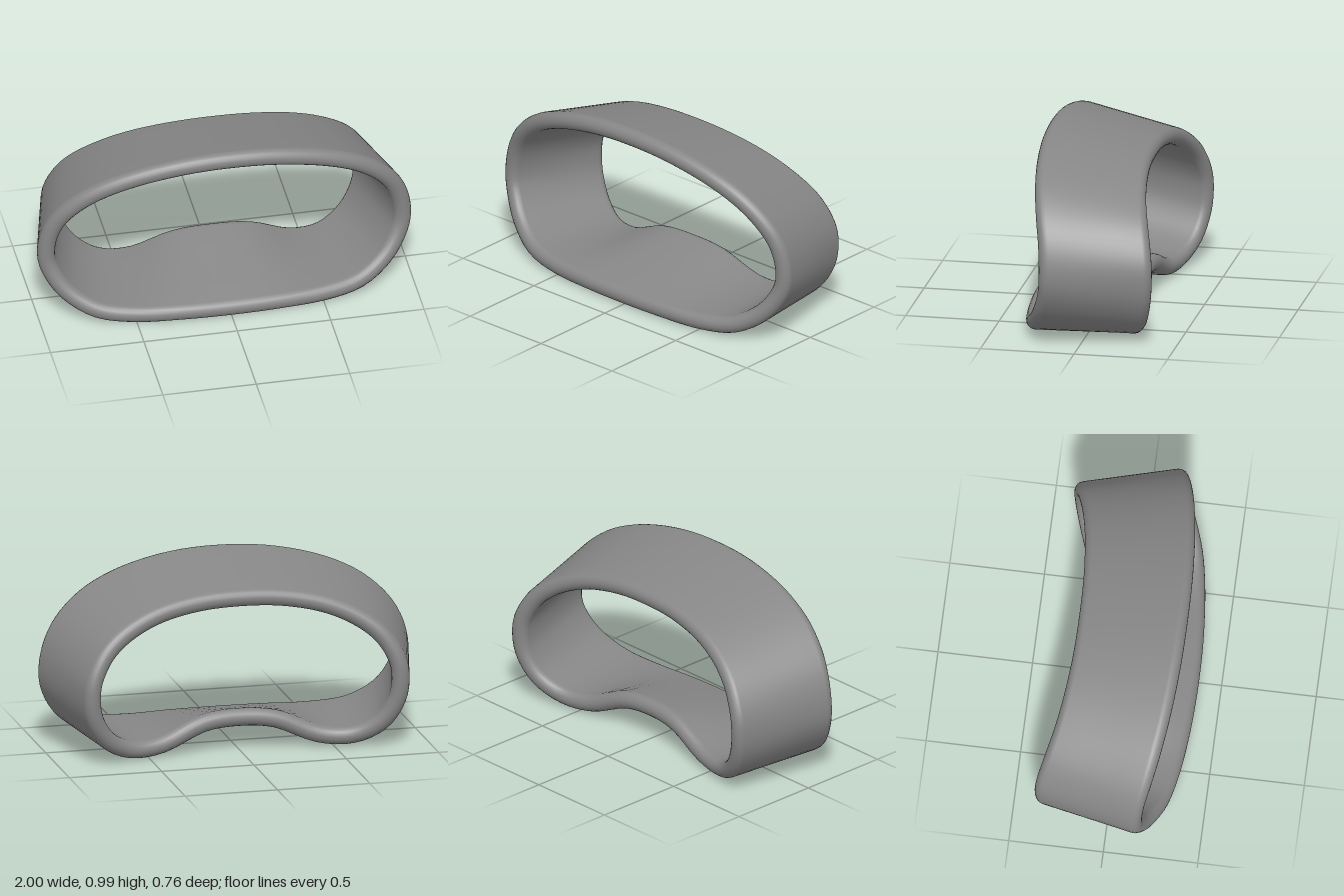
import * as THREE from 'three';

// Half outlines of the wall's mid-line, from bottom centre round the left side to top centre
const FRONT = [
  [0, 0.047, 0.335], [0.25, 0.047, 0.328], [0.5, 0.048, 0.303], [0.7, 0.077, 0.264], [0.85, 0.17, 0.205],
  [0.935, 0.3, 0.16], [0.953, 0.42, 0.15], [0.92, 0.56, 0.16], [0.84, 0.68, 0.187], [0.7, 0.79, 0.22],
  [0.5, 0.873, 0.25], [0.25, 0.926, 0.27], [0, 0.941, 0.275],
];
const BACK = [
  [0, 0.172, -0.17], [0.2, 0.152, -0.18], [0.42, 0.064, -0.205], [0.6, 0.056, -0.24], [0.74, 0.13, -0.293],
  [0.82, 0.26, -0.327], [0.835, 0.4, -0.336], [0.805, 0.51, -0.325], [0.73, 0.62, -0.297], [0.6, 0.713, -0.26],
  [0.43, 0.782, -0.23], [0.22, 0.822, -0.21], [0, 0.833, -0.205],
];
const RADIUS = 0.047; // half the wall thickness
const AROUND = 96;
const CAP = 10; // steps round each rim
const WALL = 4; // steps across the wall

// Mirror a half outline into a closed curve
function closedCurve(half) {
  const left = half.map(p => new THREE.Vector3(...p));
  const right = half.slice(1, -1).reverse().map(([x, y, z]) => new THREE.Vector3(-x, y, z));
  return new THREE.CatmullRomCurve3([...left, ...right], true, 'catmullrom', 0.5);
}

// Rounded wall section swept round the two rims
function bandGeometry() {
  const front = closedCurve(FRONT), back = closedCurve(BACK);
  const positions = [], indices = [];
  let ring = 0;
  for (let i = 0; i < AROUND; i++) {
    const u = i / AROUND;
    const f = front.getPoint(u), b = back.getPoint(u);
    const axis = b.clone().sub(f).normalize();
    const outward = c => axis.clone().cross(c.getTangent(u)).normalize();
    const nf = outward(front), nb = outward(back);
    const section = [];
    const cap = (centre, n, start) => {
      for (let k = 0; k <= CAP; k++) {
        const a = start + Math.PI * k / CAP;
        section.push(centre.clone()
          .addScaledVector(axis, -RADIUS * Math.cos(a))
          .addScaledVector(n, RADIUS * Math.sin(a)));
      }
    };
    const wall = (from, to) => {
      for (let k = 1; k < WALL; k++) section.push(from.clone().lerp(to, k / WALL));
    };
    cap(f, nf, -Math.PI / 2);
    wall(f.clone().addScaledVector(nf, RADIUS), b.clone().addScaledVector(nb, RADIUS));
    cap(b, nb, Math.PI / 2);
    wall(b.clone().addScaledVector(nb, -RADIUS), f.clone().addScaledVector(nf, -RADIUS));
    ring = section.length;
    section.forEach(p => positions.push(p.x, p.y, p.z));
  }
  for (let i = 0; i < AROUND; i++) {
    for (let j = 0; j < ring; j++) {
      const i2 = (i + 1) % AROUND, j2 = (j + 1) % ring;
      const a = i * ring + j, b = i * ring + j2, c = i2 * ring + j, d = i2 * ring + j2;
      indices.push(a, b, c, b, d, c);
    }
  }
  const geometry = new THREE.BufferGeometry();
  geometry.setAttribute('position', new THREE.Float32BufferAttribute(positions, 3));
  geometry.setIndex(indices);
  geometry.computeVertexNormals();
  return geometry;
}

export function createModel() {
  const group = new THREE.Group();
  group.name = 'curvedBand';
  const band = new THREE.Mesh(bandGeometry(), new THREE.MeshStandardMaterial({ color: 0x868686 }));
  band.name = 'band';
  group.add(band);
  return group;
}
